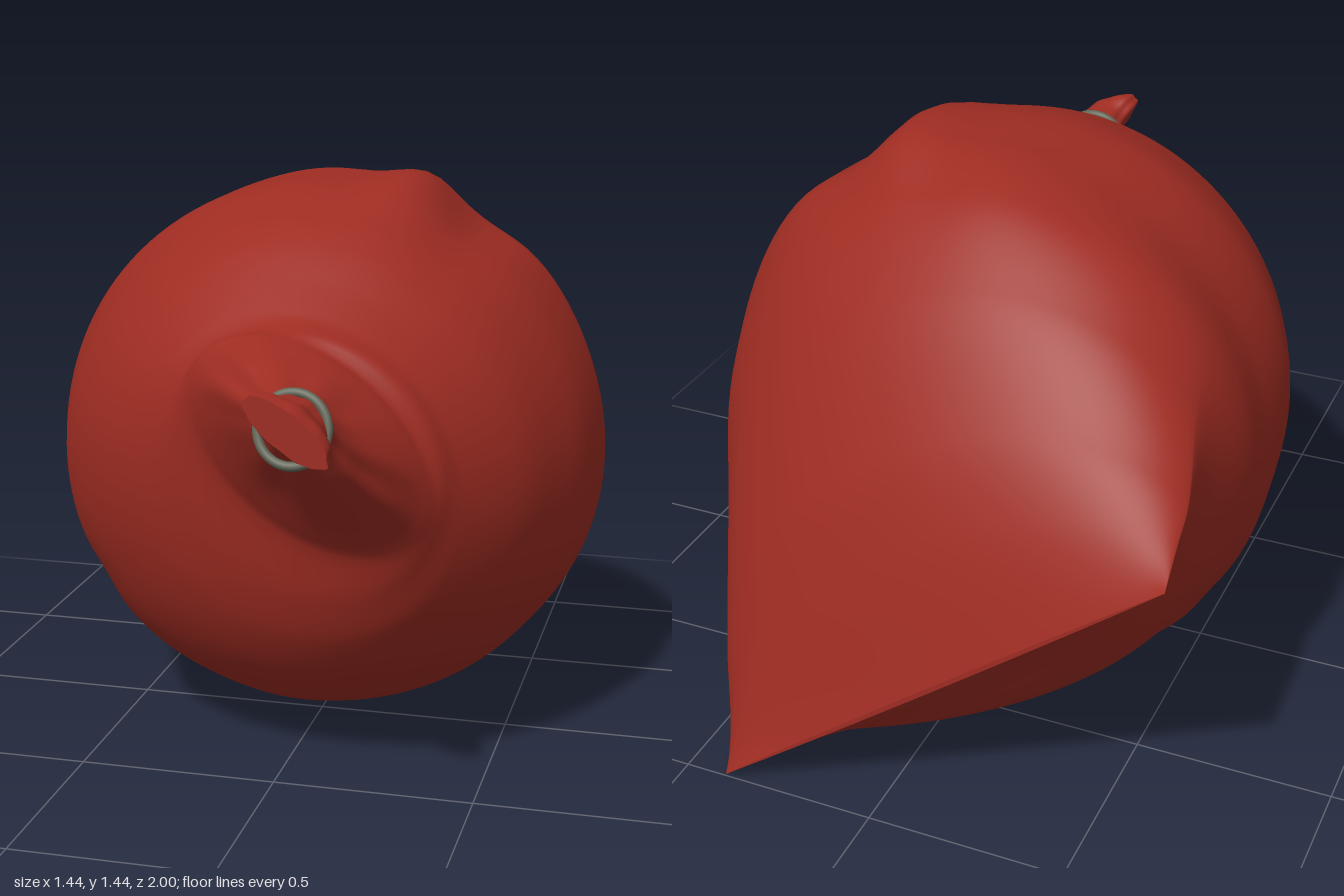
import * as THREE from 'three';

// Section axes: u runs along the flat back seam, v across it
const U = new THREE.Vector2(0.794, -0.608);
const V = new THREE.Vector2(0.608, 0.794);

// Sections along the sack: z, centre x, centre y, half width on u, half widths on +v and -v
const SECTIONS = [
  [-1.0, -0.163, 0.435, 0.70, 0.006, 0.006],
  [-0.9, -0.142, 0.475, 0.715, 0.25, 0.13],
  [-0.8, -0.12, 0.515, 0.73, 0.41, 0.27],
  [-0.6, -0.075, 0.64, 0.717, 0.565, 0.5],
  [-0.4, -0.025, 0.705, 0.732, 0.645, 0.635],
  [-0.2, 0.0, 0.716, 0.715, 0.71, 0.71],
  [0.0, 0.0, 0.735, 0.70, 0.69, 0.69],
  [0.2, 0.0, 0.74, 0.635, 0.635, 0.635],
  [0.3, 0.01, 0.745, 0.585, 0.58, 0.58],
  [0.4, 0.025, 0.755, 0.518, 0.497, 0.497],
  [0.5, 0.055, 0.785, 0.425, 0.39, 0.39],
  [0.56, 0.095, 0.84, 0.35, 0.3, 0.3],
  [0.59, 0.113, 0.893, 0.33, 0.213, 0.213],
  [0.62, 0.121, 0.91, 0.30, 0.192, 0.192],
  [0.7, 0.135, 0.945, 0.232, 0.14, 0.14],
  [0.8, 0.15, 0.98, 0.138, 0.09, 0.09],
  [0.87, 0.162, 1.015, 0.08, 0.066, 0.066],
  [0.92, 0.165, 1.025, 0.08, 0.053, 0.053],
  [0.97, 0.17, 1.035, 0.108, 0.052, 0.052],
  [1.0, 0.17, 1.035, 0.112, 0.04, 0.04],
];

// Smooth interpolation between neighbouring sections that never overshoots
function sectionAt(z) {
  const last = SECTIONS.length - 1;
  let k = 0;
  while (k < last - 1 && z > SECTIONS[k + 1][0]) k++;
  const secant = (i, c) =>
    (SECTIONS[i + 1][c] - SECTIONS[i][c]) / (SECTIONS[i + 1][0] - SECTIONS[i][0]);
  const slope = (i, c) => {
    const p = secant(Math.max(i - 1, 0), c), n = secant(Math.min(i, last - 1), c);
    return p * n > 0 ? (2 * p * n) / (p + n) : 0;
  };
  const A = SECTIONS[k], B = SECTIONS[k + 1], h = B[0] - A[0];
  const t = (z - A[0]) / h, t2 = t * t, t3 = t2 * t;
  return [1, 2, 3, 4, 5].map((c) =>
    (2 * t3 - 3 * t2 + 1) * A[c] + (t3 - 2 * t2 + t) * h * slope(k, c) +
    (3 * t2 - 2 * t3) * B[c] + (t3 - t2) * h * slope(k + 1, c));
}

// Cloth folds: angle in degrees, z, height, angular width, length in z
const FOLDS = [
  [72, -0.12, 0.05, 8, 0.22],
  [56, -0.05, -0.02, 8, 0.25],
  [47, -0.36, 0.025, 20, 0.2],
  [92, -0.35, 0.015, 14, 0.2],
  [211, 0.0, -0.02, 7, 0.25],
  [224, -0.1, 0.01, 7, 0.2],
  [250, -0.15, -0.025, 14, 0.3],
];

function foldHeight(deg, z) {
  let sum = 0;
  for (const [angle, fz, height, width, length] of FOLDS) {
    const d = ((deg - angle + 540) % 360) - 180;
    sum += height * Math.exp(-((d / width) ** 2) - ((z - fz) / length) ** 2);
  }
  return sum;
}

function sackPoint(z, t) {
  const [cx, cy, a, bPlus, bMinus] = sectionAt(z);
  // pointed, pillow-like ends near the seam, sharper underneath
  const s = Math.sin(t);
  const power = 1 + (s > 0 ? 0.35 : 0.7) * THREE.MathUtils.smoothstep(-z, 0.35, 0.95);
  // gathered pleats leading into the tie
  const gather = THREE.MathUtils.smoothstep(z, 0.58, 0.75);
  const pleat = 1 + gather * (0.02 * Math.cos(7 * t + 0.6) + 0.012 * Math.cos(11 * t));
  const pu = a * Math.cos(t) * pleat;
  const pv = (s > 0 ? bPlus : -bMinus) * Math.abs(s) ** power * pleat;
  const dx = pu * U.x + pv * V.x, dy = pu * U.y + pv * V.y;
  const r = Math.hypot(dx, dy) || 1;
  const deg = (THREE.MathUtils.radToDeg(Math.atan2(dy, dx)) + 360) % 360;
  const k = 1 + foldHeight(deg, z) / r;
  return [cx + dx * k, Math.max(0, cy + dy * k), z];
}

// Loft the sections into one closed skin
function sackGeometry(rows, cols) {
  const pos = [], idx = [];
  const addRing = (z) => {
    for (let j = 0; j < cols; j++) pos.push(...sackPoint(z, (j / cols) * Math.PI * 2));
  };
  for (let i = 0; i <= rows; i++) addRing(-1 + (2 * i) / rows);
  for (let i = 0; i < rows; i++) {
    for (let j = 0; j < cols; j++) {
      const n = (j + 1) % cols, p = i * cols, q = p + cols;
      idx.push(p + j, p + n, q + j, p + n, q + n, q + j);
    }
  }
  // closing faces at the seam and at the mouth
  for (const z of [-1, 1]) {
    const base = pos.length / 3;
    addRing(z);
    const [cx, cy] = sectionAt(z);
    pos.push(cx, cy, z);
    for (let j = 0; j < cols; j++) {
      const n = (j + 1) % cols;
      if (z > 0) idx.push(base + j, base + n, base + cols);
      else idx.push(base + n, base + j, base + cols);
    }
  }
  const g = new THREE.BufferGeometry();
  g.setAttribute('position', new THREE.Float32BufferAttribute(pos, 3));
  g.setIndex(idx);
  g.computeVertexNormals();
  return g;
}

export function createModel() {
  const red = new THREE.MeshStandardMaterial({ color: 0x9e2c22 });
  red.name = 'red cloth';
  const grey = new THREE.MeshStandardMaterial({ color: 0x626656 });
  grey.name = 'grey green cord';

  const model = new THREE.Group();
  model.name = 'tiedSack';

  const sack = new THREE.Mesh(sackGeometry(200, 128), red);
  sack.name = 'sack';
  model.add(sack);

  // Cord ring around the neck, tipped slightly upward
  const tie = new THREE.Mesh(new THREE.TorusGeometry(0.08, 0.011, 10, 48), grey);
  tie.name = 'neckTie';
  tie.position.set(0.155, 1.013, 0.885);
  tie.rotation.set(-0.28, -0.05, 0);
  model.add(tie);

  return model;
}
